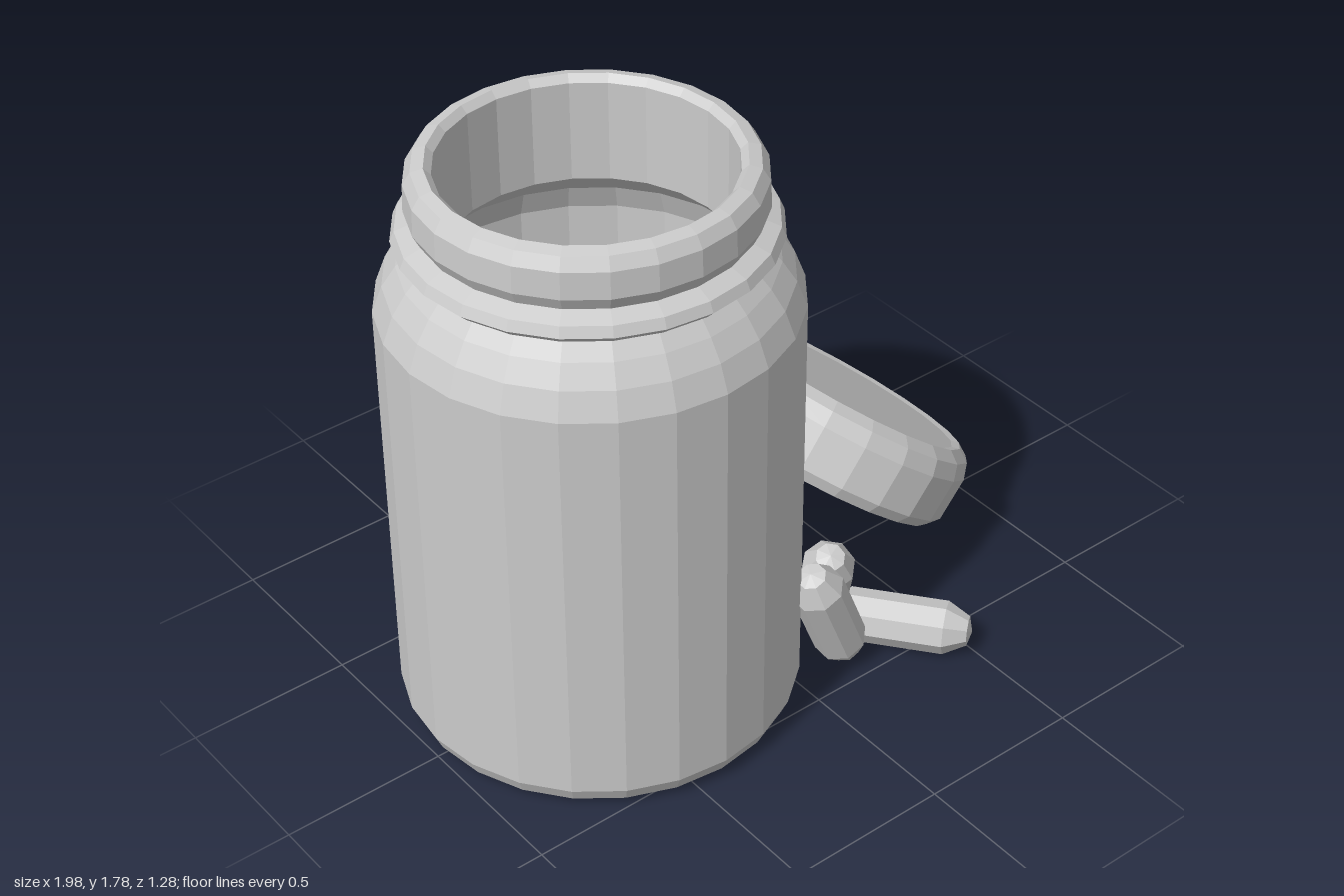
import * as THREE from 'three';

const material = new THREE.MeshStandardMaterial({ color: 0xcccccc, flatShading: true });

// Faceted solid of revolution from [radius, height] pairs
function turned(name, profile, sides) {
  const points = profile.map(([r, y]) => new THREE.Vector2(r, y));
  const mesh = new THREE.Mesh(new THREE.LatheGeometry(points, sides), material);
  mesh.name = name;
  return mesh;
}

// Low-poly capsule stretched between the centres of its two round ends
function pill(name, from, to, radius = 0.08) {
  const a = new THREE.Vector3(...from);
  const b = new THREE.Vector3(...to);
  const axis = b.clone().sub(a);
  const h = axis.length() / 2;
  const r = radius;
  const mesh = turned(name, [
    [0, -h - r], [r * 0.55, -h - r * 0.85], [r, -h],
    [r, h], [r * 0.55, h + r * 0.85], [0, h + r],
  ], 8);
  mesh.position.copy(a).add(b).multiplyScalar(0.5);
  mesh.quaternion.setFromUnitVectors(new THREE.Vector3(0, 1, 0), axis.normalize());
  return mesh;
}

export function createModel() {
  const model = new THREE.Group();
  model.name = 'pillJar';

  // Hollow jar: recessed base, outer wall, shoulder, collar, neck, then the inside
  const jar = turned('jar', [
    [0, 0.05], [0.35, 0.05], [0.4, 0.015], [0.52, 0.01], [0.565, 0.035], [0.585, 0.08],
    [0.585, 1.36], [0.555, 1.44], [0.515, 1.5], [0.47, 1.55],
    [0.5, 1.555], [0.525, 1.58], [0.512, 1.61], [0.465, 1.63],
    [0.485, 1.67], [0.482, 1.75], [0.46, 1.785], [0.425, 1.795], [0.405, 1.775],
    [0.405, 1.47], [0.5, 1.38], [0.53, 1.3], [0.53, 0.14], [0.48, 0.09], [0, 0.09],
  ], 24);
  jar.position.x = -0.417;
  model.add(jar);

  // Lid leaning on the jar: hollow underneath with bevelled edges
  const lid = turned('lid', [
    [0, 0.05], [0.4, 0.05], [0.405, -0.11], [0.425, -0.127], [0.45, -0.125], [0.478, -0.09],
    [0.482, 0.05], [0.465, 0.1], [0.425, 0.127], [0.4, 0.12], [0, 0.12],
  ], 22);
  lid.position.set(0.553, 0.402, -0.158);
  lid.rotation.z = -0.66;
  model.add(lid);

  // Pills beside the jar: two leaning, one lying down
  model.add(pill('leaningPillFront', [0.052, 0.355, 0.42], [0.165, 0.095, 0.4]));
  model.add(pill('leaningPillBack', [0.165, 0.33, 0.34], [0.24, 0.1, 0.23]));
  model.add(pill('lyingPill', [0.26, 0.09, 0.33], [0.44, 0.09, 0.56]));

  // Pills resting inside the jar
  model.add(pill('insidePillLeft', [-0.47, 0.17, 0.03], [-0.325, 0.17, 0.27]));
  model.add(pill('insidePillRight', [-0.165, 0.17, 0.015], [-0.185, 0.17, 0.265]));

  return model;
}
